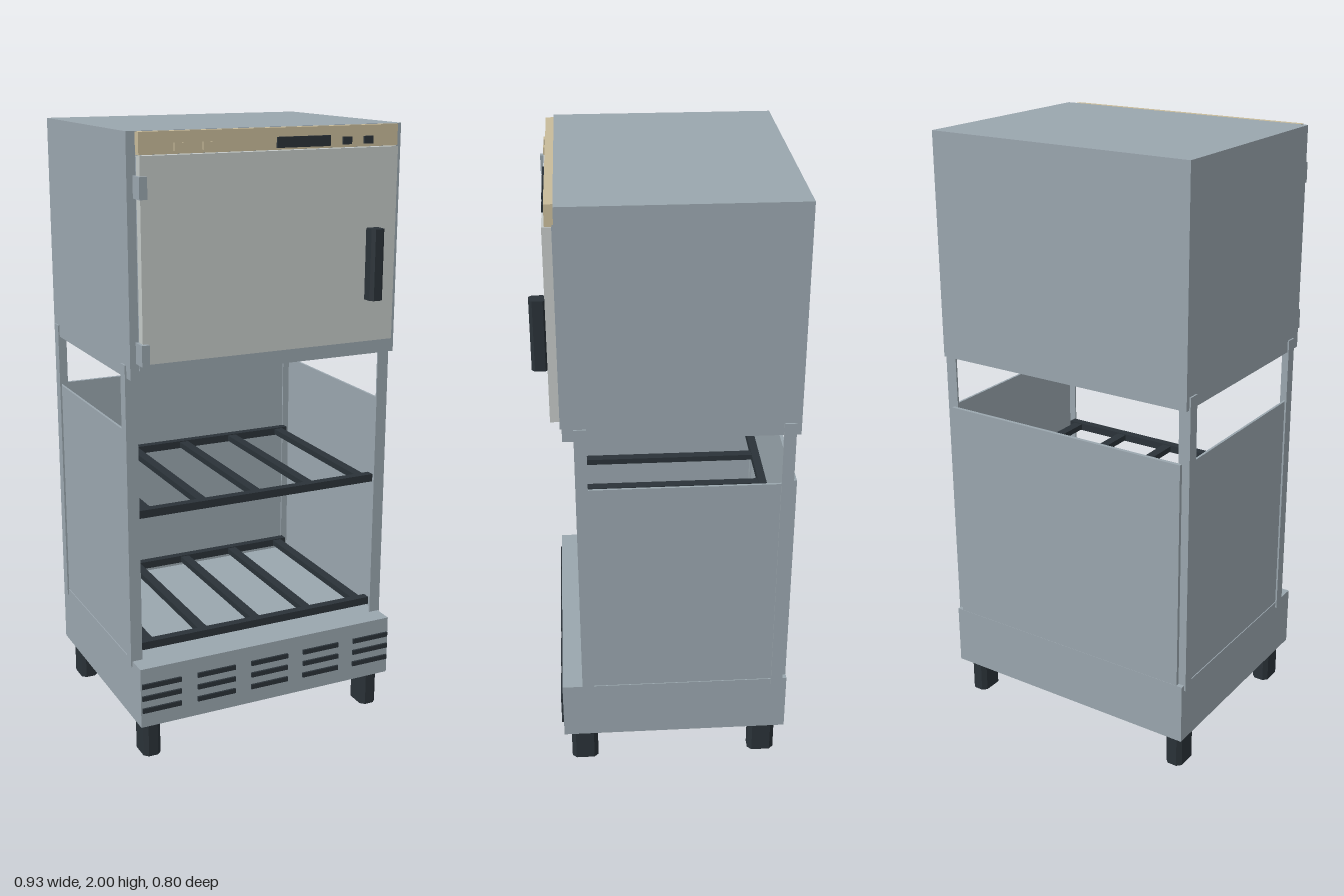
import * as THREE from 'three';

const mat = (name, color) => {
  const m = new THREE.MeshStandardMaterial({ color });
  m.name = name;
  return m;
};

export function createModel() {
  const steel = mat('steel grey', 0x9aa6ae);
  const doorGrey = mat('pale door grey', 0xc4c9c7);
  const tan = mat('tan panel', 0xc8bb9a);
  const dark = mat('dark plastic', 0x2a3238);

  const root = new THREE.Group();
  root.name = 'cabinetOnRack';

  // box given by its minimum and maximum on each axis
  const box = (name, m, [x0, x1], [y0, y1], [z0, z1], parent = root) => {
    const mesh = new THREE.Mesh(new THREE.BoxGeometry(x1 - x0, y1 - y0, z1 - z0), m);
    mesh.position.set((x0 + x1) / 2, (y0 + y1) / 2, (z0 + z1) / 2);
    mesh.name = name;
    parent.add(mesh);
    return mesh;
  };

  // upright block with chamfered vertical edges, standing on y = 0
  const chamferedBlock = (w, h, d, c) => {
    const a = w / 2, b = d / 2;
    const s = new THREE.Shape([
      [-a + c, -b], [a - c, -b], [a, -b + c], [a, b - c],
      [a - c, b], [-a + c, b], [-a, b - c], [-a, -b + c],
    ].map(([x, y]) => new THREE.Vector2(x, y)));
    return new THREE.ExtrudeGeometry(s, { depth: h, bevelEnabled: false }).rotateX(-Math.PI / 2);
  };

  // heated upper cabinet
  box('upperCabinet', steel, [-0.46, 0.46], [1.27, 2], [-0.4, 0.32]);
  box('doorSurround', steel, [-0.432, 0.432], [1.298, 1.94], [0.318, 0.326]);
  box('door', doorGrey, [-0.432, 0.43], [1.322, 1.932], [0.32, 0.354]);
  box('controlPanel', tan, [-0.432, 0.432], [1.934, 1.999], [0.32, 0.346]);
  box('display', dark, [0.01, 0.19], [1.94, 1.972], [0.345, 0.354]);
  for (const x of [0.25, 0.325]) box('button', dark, [x - 0.015, x + 0.015], [1.943, 1.966], [0.345, 0.354]);
  for (const x of [-0.308, -0.217]) box('switch', tan, [x - 0.015, x + 0.015], [1.943, 1.966], [0.345, 0.354]);
  for (const y of [1.32, 1.81]) box('hinge', steel, [-0.441, -0.416], [y, y + 0.065], [0.32, 0.37]);

  // door handle
  const handle = new THREE.Mesh(chamferedBlock(0.046, 0.225, 0.052, 0.01), dark);
  handle.position.set(0.343, 1.46, 0.377);
  handle.name = 'handle';
  root.add(handle);

  // lamps under the cabinet
  for (const x of [-0.285, 0, 0.28]) {
    box('lampBody', dark, [x - 0.075, x + 0.075], [1.235, 1.27], [-0.142, 0.058]);
    for (const s of [-1, 1]) {
      const e = x + s * 0.07;
      box('lampRimSide', steel, [e - 0.009, e + 0.009], [1.225, 1.235], [-0.147, 0.063]);
    }
    for (const z of [-0.138, 0.054]) box('lampRimEnd', steel, [x - 0.061, x + 0.061], [1.225, 1.235], [z - 0.009, z + 0.009]);
  }

  // base with three rows of vents
  box('base', steel, [-0.46, 0.46], [0.125, 0.33], [-0.4, 0.353]);
  for (const y of [0.185, 0.228, 0.27])
    for (let i = -2; i <= 2; i++)
      box('vent', dark, [i * 0.194 - 0.068, i * 0.194 + 0.068], [y - 0.008, y + 0.008], [0.351, 0.36]);

  // feet
  for (const x of [-0.41, 0.41])
    for (const z of [-0.326, 0.284]) {
      const foot = new THREE.Mesh(chamferedBlock(0.06, 0.126, 0.09, 0.014), dark);
      foot.position.set(x, 0, z);
      foot.name = 'foot';
      root.add(foot);
    }

  // angle posts and side panels, mirrored left and right
  for (const s of [-1, 1]) {
    const span = (a, b) => (s > 0 ? [a, b] : [-b, -a]);
    box('frontPostSide', steel, span(0.459, 0.465), [0.31, 1.31], [0.248, 0.286]);
    box('frontPostFace', steel, span(0.426, 0.459), [0.33, 1.27], [0.28, 0.286]);
    box('backPostSide', steel, span(0.459, 0.465), [0.31, 1.31], [-0.385, -0.347]);
    box('backPostFace', steel, span(0.426, 0.459), [0.33, 1.27], [-0.385, -0.379]);
    box('sidePanel', steel, span(0.449, 0.457), [0.33, 1.095], [-0.378, 0.279]);
  }
  box('backPanel', steel, [-0.44, 0.44], [0.33, 1.095], [-0.399, -0.387]);

  // two slatted shelves
  for (const y of [0.37, 0.822]) {
    const shelf = new THREE.Group();
    shelf.name = 'shelf';
    root.add(shelf);
    for (const z of [-0.36, 0.262])
      box('shelfRail', dark, [-0.426, 0.426], [y - 0.013, y + 0.013], [z - 0.014, z + 0.014], shelf);
    for (let i = -2; i <= 2; i++)
      box('shelfBar', dark, [i * 0.195 - 0.016, i * 0.195 + 0.016], [y - 0.01, y + 0.01], [-0.346, 0.248], shelf);
  }

  return root;
}
